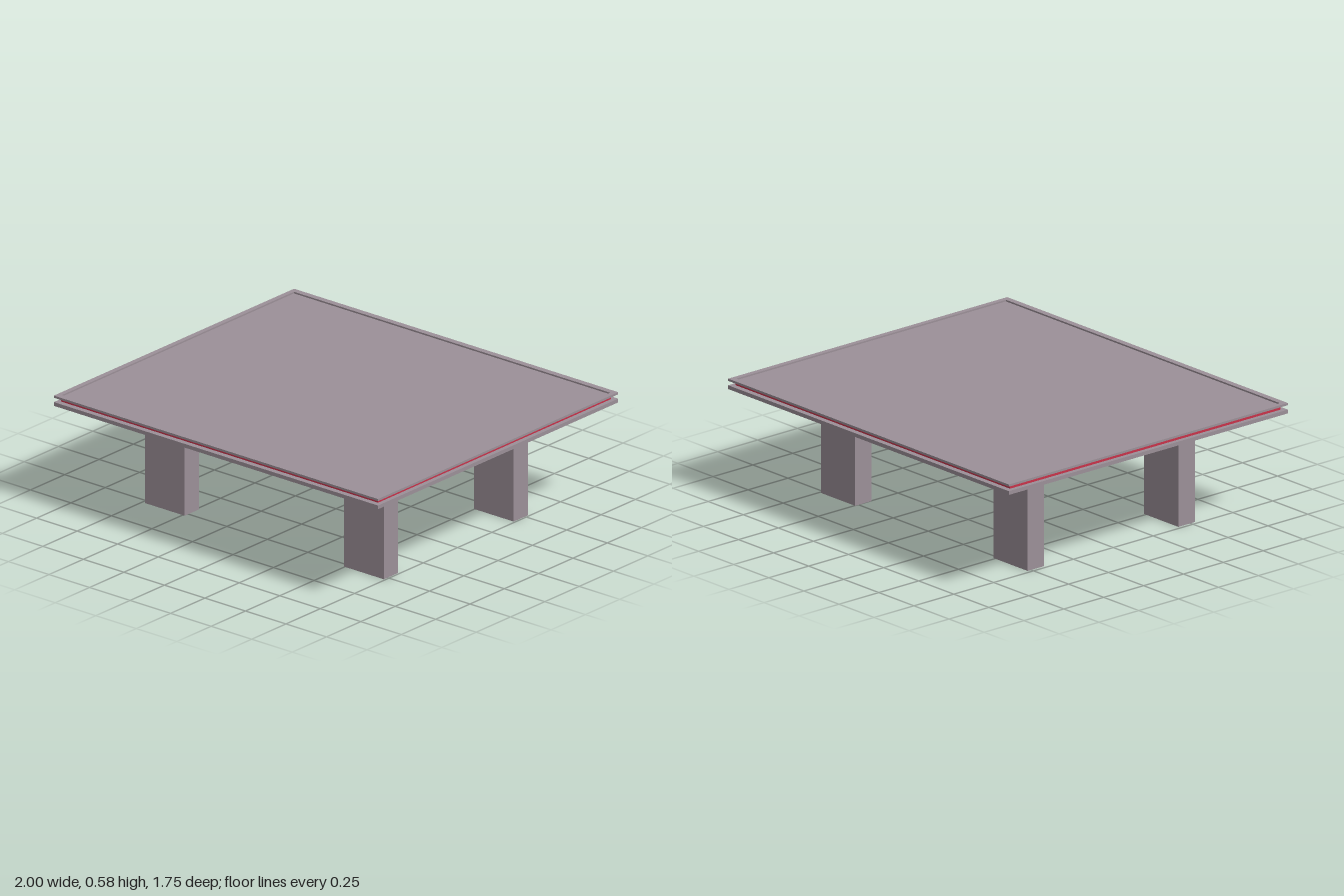
import * as THREE from 'three';

export function createModel() {
  const group = new THREE.Group();
  const grey = new THREE.MeshStandardMaterial({ color: 0x9c9098 });
  const red = new THREE.MeshStandardMaterial({ color: 0xc8324a });

  // Box given by its width, depth, bottom and top heights
  const slab = (name, w, d, y0, y1, material, x = 0, z = 0) => {
    const mesh = new THREE.Mesh(new THREE.BoxGeometry(w, y1 - y0, d), material);
    mesh.position.set(x, (y0 + y1) / 2, z);
    mesh.name = name;
    group.add(mesh);
  };

  // Tabletop layers: lower board, recessed red core, sunken top panel
  slab('lowerBoard', 2, 1.75, 0.532, 0.551, grey);
  slab('redCore', 1.955, 1.695, 0.551, 0.573, red);
  slab('topPanel', 1.955, 1.695, 0.573, 0.576, grey);

  // Thin raised rim around the top panel
  const rectangle = (Type, w, d) => new Type([
    new THREE.Vector2(-w, -d), new THREE.Vector2(w, -d),
    new THREE.Vector2(w, d), new THREE.Vector2(-w, d),
  ]);
  const outline = rectangle(THREE.Shape, 1, 0.875);
  outline.holes.push(rectangle(THREE.Path, 0.975, 0.845));
  const rimGeometry = new THREE.ExtrudeGeometry(outline, { depth: 0.011, bevelEnabled: false });
  rimGeometry.rotateX(-Math.PI / 2);
  const rim = new THREE.Mesh(rimGeometry, grey);
  rim.position.y = 0.573;
  rim.name = 'topRim';
  group.add(rim);

  // Four flat rectangular legs
  for (const [side, x] of [['Left', 0.619], ['Right', -0.61]]) {
    for (const [end, z] of [['front', 0.475], ['back', -0.47]]) {
      slab(`${end}${side}Leg`, 0.245, 0.103, 0, 0.532, grey, x, z);
    }
  }

  return group;
}
